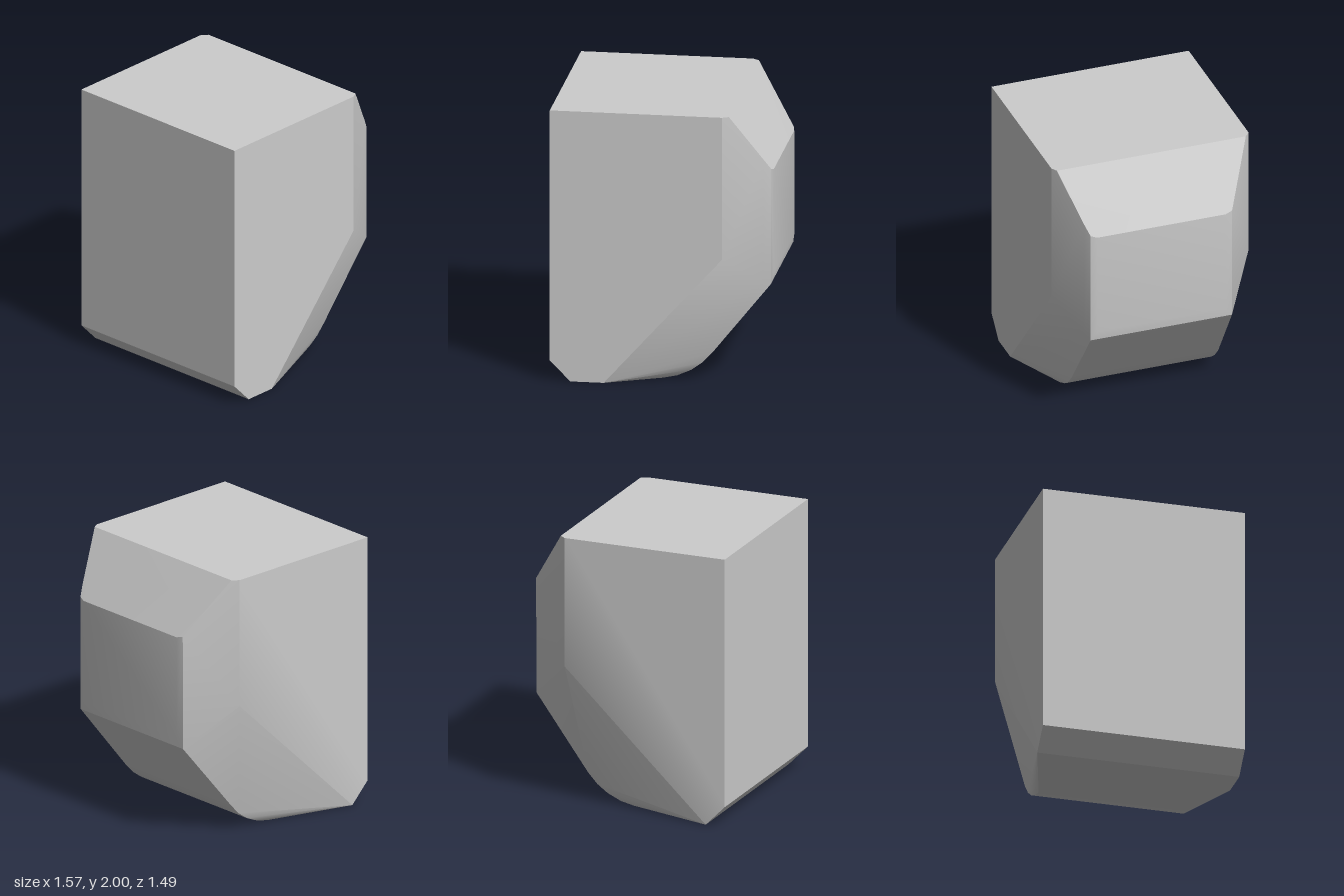
import * as THREE from 'three';
import { ConvexGeometry } from 'three/addons/geometries/ConvexGeometry.js';
import { toCreasedNormals } from 'three/addons/utils/BufferGeometryUtils.js';

export function createModel() {
  const group = new THREE.Group();
  const points = [];
  const add = (x, y, z) => points.push(new THREE.Vector3(x, y, z));

  // Box end: square top edge, chamfered bottom edge
  for (const z of [0.745, -0.745]) {
    add(-0.787, 2, z);
    add(-0.787, 0.15, z);
    add(-0.64, 0, z);
    add(0.45, 2, z);
  }
  // Where the large sides break into the bevels
  add(0.45, 0.95, 0.745);
  add(-0.4, 0, 0.745);
  add(0.45, 1.04, -0.745);

  // Sloped top bevel
  add(0.495, 2, 0.72);
  add(0.495, 2, -0.708);
  add(0.725, 1.66, 0.598);

  // Nose panel with softened corners
  for (const [z, inner] of [[0.567, 0.52], [-0.502, -0.45]]) {
    add(0.775, 1.585, z);
    add(0.787, 1.57, inner);
    add(0.787, 0.8, inner);
    add(0.772, 0.73, z);
  }
  add(0.725, 0.76, 0.597);

  // Rounded underside
  const underside = [[0.35, 0.2], [0.28, 0.125], [0.2, 0.067], [0.1, 0.022], [0, 0]];
  for (const [x, y] of underside) {
    add(x, y, 0.552);
    add(x, y, -0.552);
  }

  const geometry = toCreasedNormals(new ConvexGeometry(points), 0.4);
  const block = new THREE.Mesh(geometry, new THREE.MeshStandardMaterial({ color: 0xcccccc }));
  block.name = 'bevelledBlock';
  group.add(block);
  return group;
}
